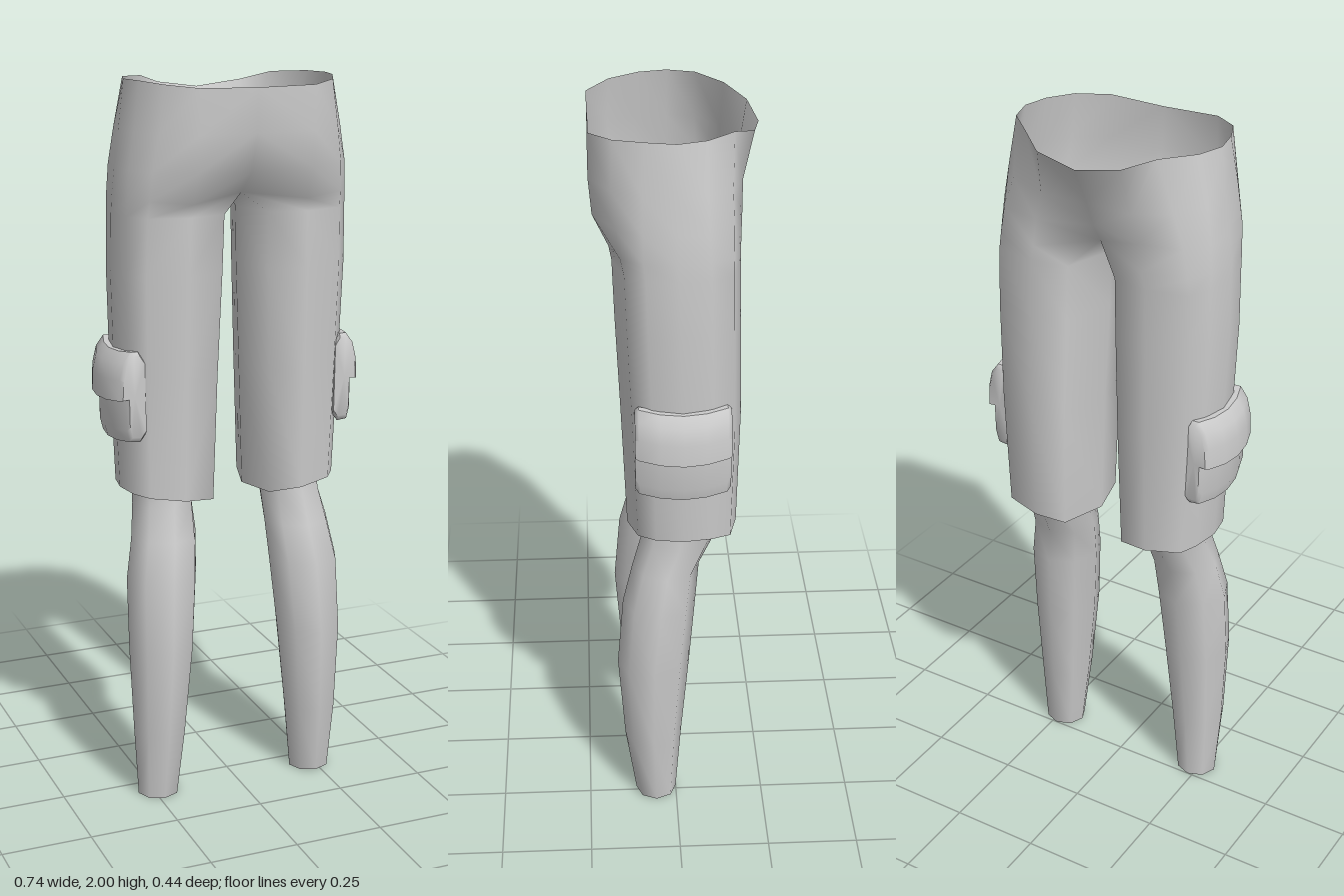
import * as THREE from 'three';
import { mergeVertices, toCreasedNormals } from 'three/addons/utils/BufferGeometryUtils.js';

const material = new THREE.MeshStandardMaterial({ color: 0xcccccc, side: THREE.DoubleSide });

// Collects quad strips between rows of points; side = -1 mirrors in x.
class Skin {
  constructor() { this.pos = []; this.index = []; }
  add(rows, closed, side = 1) {
    const base = this.pos.length / 3, n = rows[0].length;
    rows.flat().forEach(([x, y, z]) => this.pos.push(x * side, y, z));
    for (let i = 0; i < rows.length - 1; i++) {
      for (let k = 0; k < (closed ? n : n - 1); k++) {
        const a = base + i * n + k, b = base + i * n + (k + 1) % n;
        const c = a + n, d = b + n;
        if (side > 0) this.index.push(a, c, d, a, d, b);
        else this.index.push(a, d, c, a, b, d);
      }
    }
    return this;
  }
  mesh(name, crease) {
    let g = new THREE.BufferGeometry();
    g.setAttribute('position', new THREE.Float32BufferAttribute(this.pos, 3));
    g.setIndex(this.index);
    g = mergeVertices(g, 1e-4);
    if (crease) g = toCreasedNormals(g, crease);
    else g.computeVertexNormals();
    const m = new THREE.Mesh(g, material);
    m.name = name;
    return m;
  }
}

// Torso half rings, front centre round the side to back centre
const waist = [[0, 1.985, 0.213], [0.16, 1.988, 0.215], [0.235, 1.995, 0.155], [0.272, 2, 0.075], [0.288, 2, 0],
  [0.265, 2, -0.075], [0.19, 1.995, -0.145], [0.12, 1.972, -0.2], [0, 1.955, -0.22]];
const hips = [[0, 1.87, 0.208], [0.16, 1.87, 0.215], [0.25, 1.87, 0.16], [0.292, 1.87, 0.085], [0.304, 1.87, 0],
  [0.292, 1.87, -0.075], [0.235, 1.86, -0.14], [0.13, 1.85, -0.172], [0, 1.85, -0.165]];
const seat = [[0, 1.765, 0.17], [0.16, 1.775, 0.207], [0.265, 1.775, 0.15], [0.307, 1.775, 0.085], [0.317, 1.775, 0],
  [0.307, 1.775, -0.08], [0.265, 1.775, -0.142], [0.15, 1.775, -0.17], [0, 1.78, -0.135]];
// Full ring of one leg at the crotch; the last point is the middle of the seam
const crotch = [[0, 1.705, 0.1], [0.16, 1.69, 0.167], [0.27, 1.7, 0.14], [0.31, 1.7, 0.083], [0.325, 1.7, 0],
  [0.312, 1.7, -0.083], [0.278, 1.7, -0.143], [0.16, 1.7, -0.168], [0, 1.725, -0.1], [0, 1.69, 0]];

// Trouser leg section: u from inner to outer, w from back to front
const section = [[0.12, 0.85], [0.46, 1], [0.82, 0.82], [0.95, 0.5], [1, 0],
  [0.95, -0.5], [0.86, -0.85], [0.48, -1], [0.15, -0.88], [0, 0]];
const legRing = ([y, xin, xout, front, back, slope = 0]) => section.map(([u, w]) => [
  xin + u * (xout - xin), y - slope * (1 - u), (front + back) / 2 + w * (front - back) / 2]);
const legRings = [
  [1.655, 0.026, 0.327, 0.16, -0.167], [1.5, 0.03, 0.33, 0.155, -0.17],
  [1.22, 0.042, 0.322, 0.143, -0.175], [0.897, 0.053, 0.31, 0.13, -0.167, 0.03],
].map(legRing);

// Bare lower leg: y, inner x, outer x, front z, back z
const shin = [
  [0.92, 0.09, 0.275, 0.083, -0.122], [0.85, 0.105, 0.278, 0.092, -0.11], [0.76, 0.105, 0.295, 0.118, -0.065],
  [0.65, 0.112, 0.316, 0.146, -0.055], [0.45, 0.13, 0.318, 0.163, -0.038],
  [0.2, 0.155, 0.308, 0.145, -0.015], [0, 0.176, 0.295, 0.115, 0],
].map(([y, a, b, f, k]) => Array.from({ length: 8 }, (_, i) => {
  const t = i * Math.PI / 4;
  return [(a + b) / 2 + Math.sin(t) * (b - a) / 2, y, (f + k) / 2 + Math.cos(t) * (f - k) / 2];
}));

// Cargo pocket profile with overhanging flap, swept along z on a shallow arc
const pocketProfile = [[0.3, 1.065], [0.315, 1.045], [0.343, 1.048], [0.351, 1.08], [0.352, 1.165], [0.372, 1.163],
  [0.369, 1.22], [0.358, 1.265], [0.337, 1.293], [0.318, 1.293], [0.303, 1.27]];
const pocketRow = ([z, shrink]) => {
  const bow = 0.028 * ((z + 0.015) / 0.125) ** 2;
  return pocketProfile.map(([x, y]) => [
    0.335 + (x - 0.335) * shrink - bow, 1.17 + (y - 1.17) * shrink + bow * 0.35, z]);
};
const pocketRows = [[0.11, 0], [0.11, 0.9], [0.1, 1], [0.045, 1], [-0.015, 1],
  [-0.075, 1], [-0.13, 1], [-0.14, 0.9], [-0.14, 0]].map(pocketRow);

export function createModel() {
  const group = new THREE.Group();
  group.name = 'shortsAndLegs';

  const shorts = new Skin();
  for (const side of [1, -1]) {
    shorts.add([waist, hips, seat, crotch.slice(0, 9)], false, side);
    shorts.add([crotch, ...legRings], true, side);
    const label = side > 0 ? 'left' : 'right';
    group.add(new Skin().add(shin, true, side).mesh(label + 'LowerLeg'));
    group.add(new Skin().add(pocketRows, true, side).mesh(label + 'CargoPocket', 0.9));
  }
  group.add(shorts.mesh('shorts'));
  return group;
}
